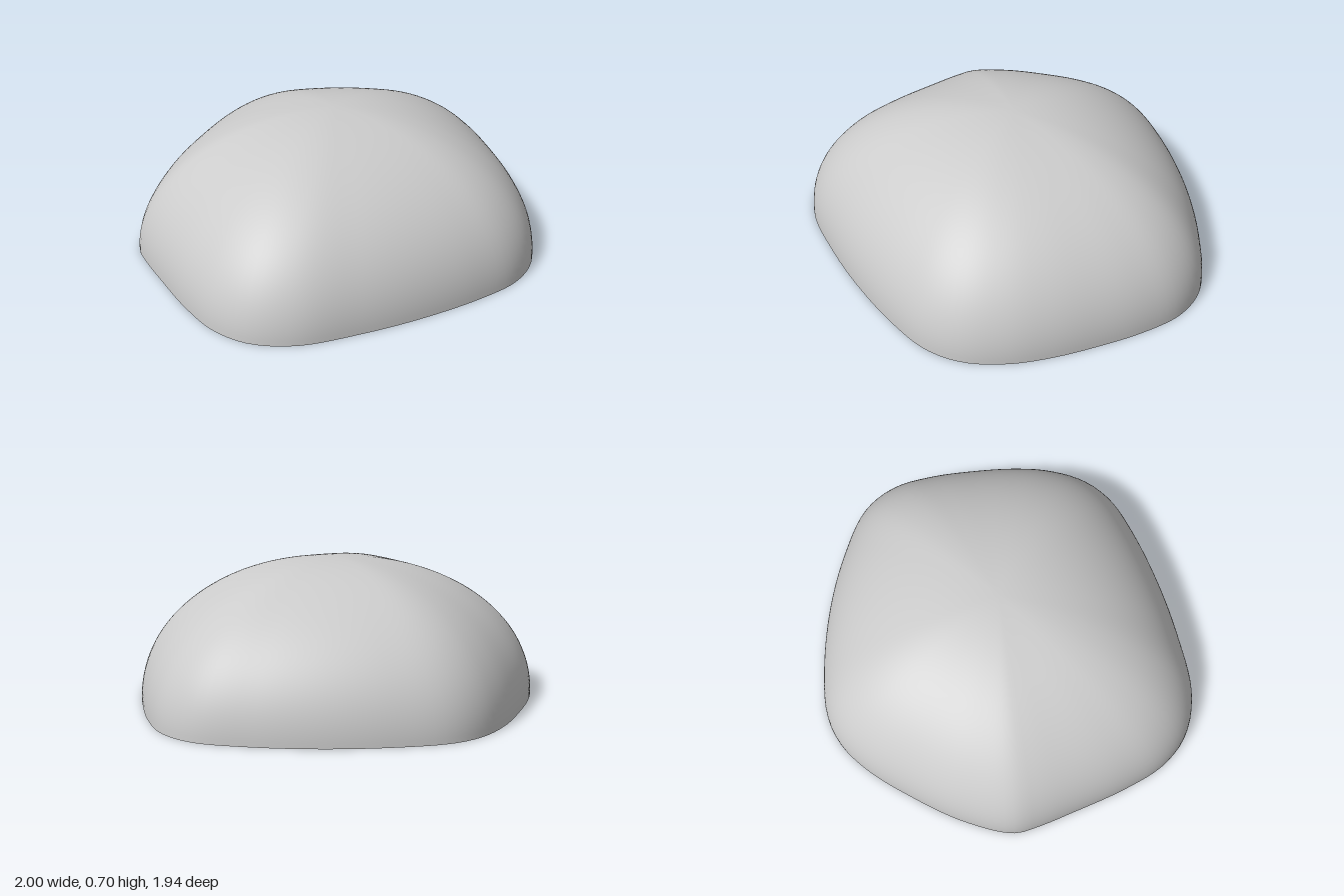
import * as THREE from 'three';
import { mergeVertices } from 'three/addons/utils/BufferGeometryUtils.js';

const HEIGHT = 0.705;
const APEX = { x: 0.02, z: -0.04 };

// Rounded five-sided rim as [x, z], from the right tip round by the front
const RIM = [
  [-1, 0.02], [-0.97, 0.14], [-0.9, 0.32], [-0.78, 0.6], [-0.66, 0.8],
  [-0.51, 0.92], [-0.3, 0.965], [0, 0.915], [0.3, 0.83], [0.6, 0.71],
  [0.8, 0.595], [0.92, 0.45], [0.985, 0.25], [1, 0.05], [0.988, -0.17],
  [0.955, -0.42], [0.89, -0.63], [0.76, -0.78], [0.5, -0.885], [0.2, -0.95],
  [-0.12, -0.97], [-0.38, -0.945], [-0.53, -0.87], [-0.665, -0.73],
  [-0.8, -0.515], [-0.935, -0.24],
];

export function createModel() {
  const group = new THREE.Group();
  const around = 128, rings = 40;
  const rim = new THREE.CatmullRomCurve3(
    RIM.map(([x, z]) => new THREE.Vector3(x, 0, z)), true, 'centripetal');
  const rimPoints = rim.getSpacedPoints(around);

  // Hemisphere whose rings are scaled copies of the rim
  const sphere = new THREE.SphereGeometry(1, around, rings, 0, Math.PI * 2, 0, Math.PI / 2);
  const pos = sphere.attributes.position;
  for (let j = 0; j <= rings; j++) {
    const t = (j / rings) * Math.PI / 2;
    const s = Math.sin(t), y = j === rings ? 0 : HEIGHT * Math.cos(t);
    for (let i = 0; i <= around; i++) {
      const p = rimPoints[i % around];
      pos.setXYZ(j * (around + 1) + i,
        APEX.x + (p.x - APEX.x) * s, y, APEX.z + (p.z - APEX.z) * s);
    }
  }

  // Weld the seam so the shading is smooth all round
  sphere.deleteAttribute('normal');
  sphere.deleteAttribute('uv');
  const geometry = mergeVertices(sphere, 1e-5);
  geometry.computeVertexNormals();

  // Hollow, open-bottomed shell
  const dome = new THREE.Mesh(geometry, new THREE.MeshStandardMaterial({
    color: 0xcccccc, side: THREE.DoubleSide }));
  dome.name = 'domeShell';
  group.add(dome);
  return group;
}
